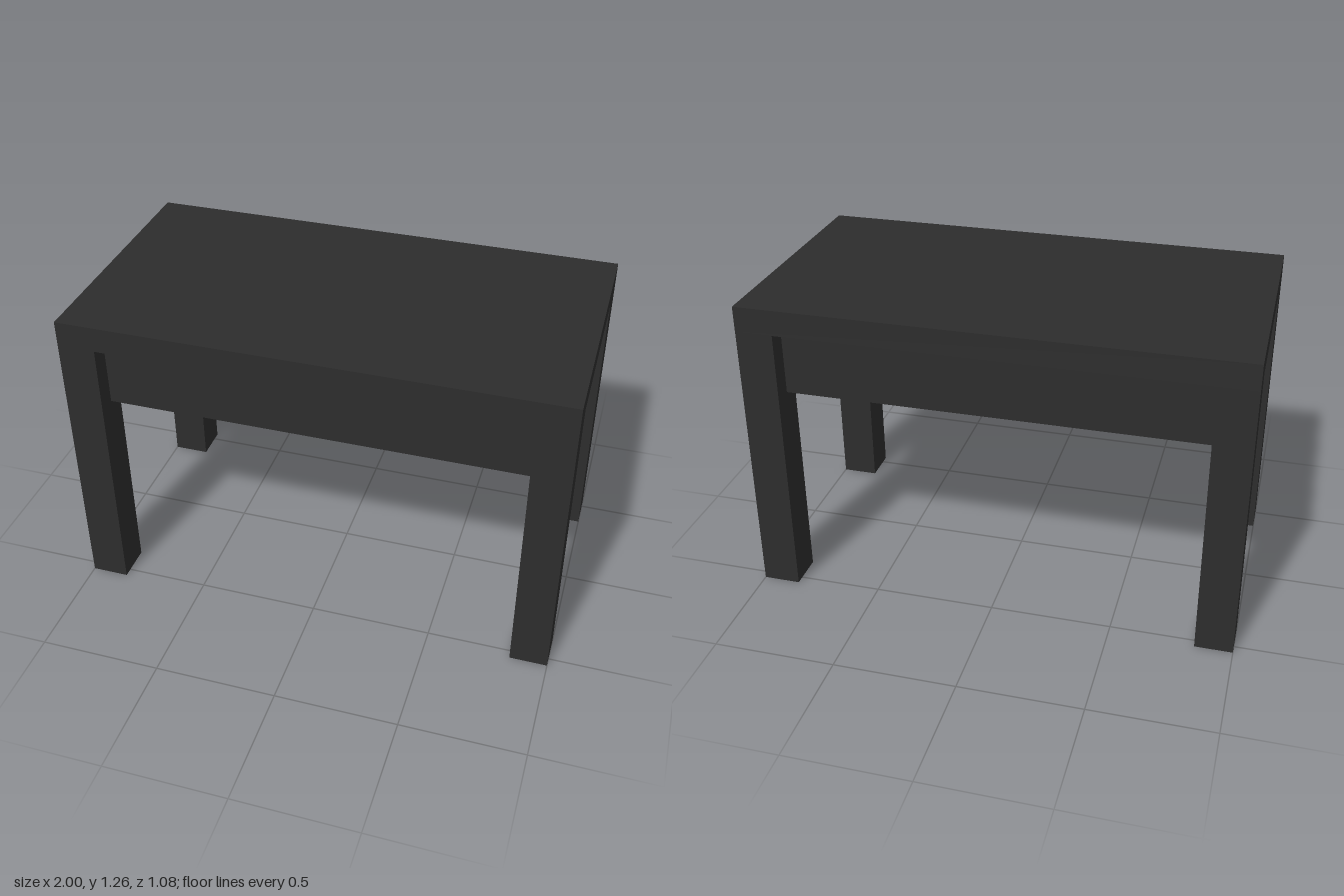
import * as THREE from 'three';

export function createModel() {
  const model = new THREE.Group();
  model.name = 'table';
  const charcoal = new THREE.MeshStandardMaterial({ color: 0x2d2d2d });
  charcoal.name = 'charcoal';

  const length = 2, depth = 1.076, height = 1.265;
  const legSize = 0.153, slabBottom = 1.16, caseBottom = 0.88;

  // Box centred on x and z positions, spanning y0 to y1
  function addBox(name, w, d, y0, y1, x = 0, z = 0) {
    const mesh = new THREE.Mesh(new THREE.BoxGeometry(w, y1 - y0, d), charcoal);
    mesh.position.set(x, (y0 + y1) / 2, z);
    mesh.name = name;
    model.add(mesh);
  }

  // Top slab, flush with the legs
  addBox('tableTop', length, depth, slabBottom, height);

  // Closed case below the top, set in by half a leg
  addBox('apronCase', length - legSize, depth - legSize, caseBottom, slabBottom);

  // Four square legs at the corners
  for (const [side, sx] of [['Left', 1], ['Right', -1]]) {
    for (const [end, sz] of [['front', 1], ['back', -1]]) {
      addBox(`${end}${side}Leg`, legSize, legSize, 0, slabBottom,
        sx * (length - legSize) / 2, sz * (depth - legSize) / 2);
    }
  }
  return model;
}
